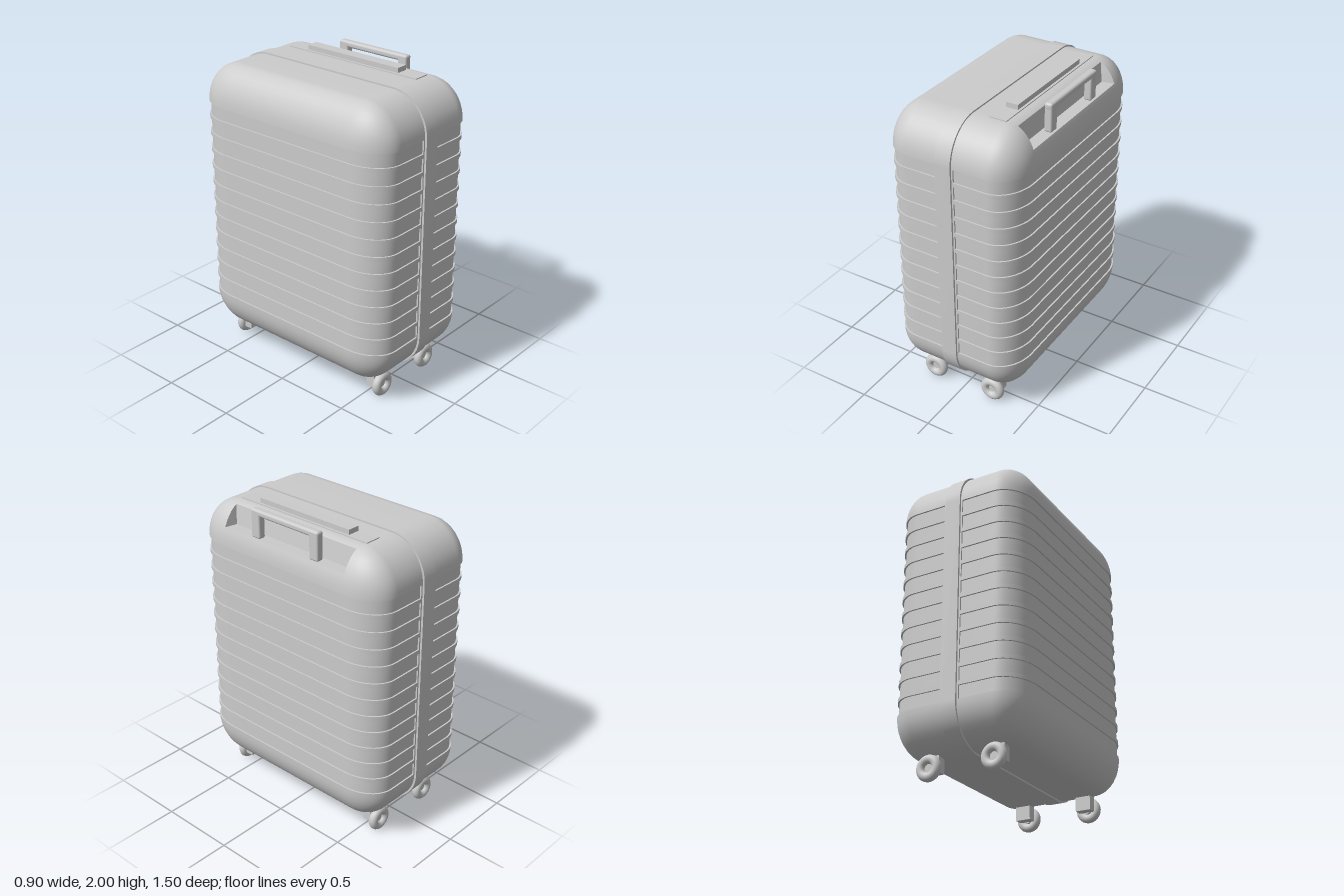
import * as THREE from 'three';
import { toCreasedNormals } from 'three/addons/utils/BufferGeometryUtils.js';
import { RoundedBoxGeometry } from 'three/addons/geometries/RoundedBoxGeometry.js';

const material = new THREE.MeshStandardMaterial({ color: 0xcccccc });
const thin = new THREE.MeshStandardMaterial({ color: 0xcccccc, side: THREE.DoubleSide });

// Shell half sizes, corner radii and vertical limits
const HX = 0.45, HZ = 0.735, RX = 0.18, RY = 0.25, RZ = 0.235;
const Y_LOW = 0.4, Y_HIGH = 1.705;
const PANEL = { count: 12, height: 0.085, depth: 0.01, startX: 0.062 };
const POCKET = { low: 27.4, high: 70.5, z: 0.48 };
const rad = THREE.MathUtils.degToRad;

function add(parent, name, geometry, x = 0, y = 0, z = 0, mat = material) {
  const mesh = new THREE.Mesh(geometry, mat);
  mesh.name = name;
  mesh.position.set(x, y, z);
  parent.add(mesh);
  return mesh;
}

// Surface through rows of [x, y, z] points; skip(r, i) leaves a quad open
function grid(rows, skip = () => false) {
  const n = rows[0].length, index = [];
  for (let r = 0; r < rows.length - 1; r++) {
    for (let i = 0; i < n - 1; i++) {
      if (skip(r, i)) continue;
      const a = r * n + i, b = a + 1, c = b + n, d = a + n;
      index.push(a, b, c, a, c, d);
    }
  }
  const geo = new THREE.BufferGeometry();
  geo.setAttribute('position', new THREE.Float32BufferAttribute(rows.flat(2), 3));
  geo.setIndex(index);
  return toCreasedNormals(geo, 0.5);
}

// U-shaped outline of one half shell; k shrinks the corner, inset sinks the panel
function ring(y, k, inset) {
  const cx = HX - RX, cz = HZ - RZ;
  const rx = RX * k - inset, rz = RZ * k - inset;
  const front = [[0, cz + RZ * k], [PANEL.startX, cz + RZ * k], [PANEL.startX, cz + rz]];
  for (let i = 0; i <= 12; i++) {
    const a = rad(i * 7.5);
    front.push([cx + rx * Math.sin(a), cz + rz * Math.cos(a)]);
  }
  front.push([cx + rx, POCKET.z]);
  const back = front.map(([x, z]) => [x, -z]).reverse();
  return [...front, ...back].map(([x, z]) => [x, y, z]);
}

function shellRows() {
  const angles = [0, 7.5, 15, 21, POCKET.low, 36, 45, 54, 62, POCKET.high, 77, 84, 90];
  const cap = (base, sign) => angles.map(a =>
    ring(base + sign * RY * Math.sin(rad(a)), Math.cos(rad(a)), 0));
  const flatten = row => row.map(([, y, z]) => [0, y, z]);
  const bottom = cap(Y_LOW, -1).reverse(), top = cap(Y_HIGH, 1);
  const rows = [flatten(bottom[0]), ...bottom];
  const pitch = (Y_HIGH - Y_LOW - PANEL.height) / (PANEL.count - 1);
  for (let p = 0; p < PANEL.count; p++) {
    const y0 = Y_LOW + p * pitch, y1 = y0 + PANEL.height;
    rows.push(ring(y0, 1, PANEL.depth), ring(y1, 1, PANEL.depth), ring(y1, 1, 0));
    if (p < PANEL.count - 1) rows.push(ring(y0 + pitch, 1, 0));
  }
  const topStart = rows.length;
  rows.push(...top, flatten(top[top.length - 1]));
  return {
    rows,
    pocketStart: topStart + angles.indexOf(POCKET.low),
    pocketEnd: topStart + angles.indexOf(POCKET.high),
  };
}

// Ribbed half shells, the left one open at the pull handle pocket
function addShells(group) {
  const { rows, pocketStart, pocketEnd } = shellRows();
  const middle = rows[0].length / 2 - 1;
  add(group, 'leftShell', grid(rows, (r, i) => i === middle && r >= pocketStart && r < pocketEnd));
  const mirrored = rows.map(row => row.map(([x, y, z]) => [-x, y, z]).reverse());
  add(group, 'rightShell', grid(mirrored));
}

// Rounded frame running around the middle of the case
function addFrame(group) {
  const z = 0.748, y0 = 0.14, y1 = 1.965, r = 0.255, half = 0.052;
  const s = new THREE.Shape();
  s.absarc(z - r, y1 - r, r, 0, Math.PI / 2);
  s.absarc(-z + r, y1 - r, r, Math.PI / 2, Math.PI);
  s.absarc(-z + r, y0 + r, r, Math.PI, Math.PI * 1.5);
  s.absarc(z - r, y0 + r, r, Math.PI * 1.5, Math.PI * 2);
  const geo = new THREE.ExtrudeGeometry(s, { depth: half * 2, bevelEnabled: false, curveSegments: 16 });
  geo.translate(0, 0, -half).rotateY(Math.PI / 2);
  add(group, 'middleFrame', toCreasedNormals(geo, 0.5));
}

// Pocket lining: back wall, floor and two end walls
function addPocket(group) {
  const pocket = new THREE.Group();
  pocket.name = 'handlePocket';
  group.add(pocket);
  const curve = a => [HX - RX + RX * Math.cos(rad(a)), Y_HIGH + RY * Math.sin(rad(a))];
  const outer = curve(POCKET.low), inner = curve(POCKET.high);
  const corner = [0.35, outer[1]], zIn = 0.465;
  const line = ([x, y], z) => [[x, y, z], [x, y, -z]];
  add(pocket, 'pocketWalls', grid([line(outer, POCKET.z), line(corner, zIn), line(inner, POCKET.z)]), 0, 0, 0, thin);
  for (const s of [1, -1]) {
    const rows = [POCKET.low, 36, 45, 54, 62, POCKET.high].map(a =>
      [[...curve(a), s * POCKET.z], [...corner, s * zIn]]);
    add(pocket, 'pocketEnd', grid(rows), 0, 0, 0, thin);
  }
}

// Telescopic handle rising from the pocket
function addPullHandle(group) {
  const handle = new THREE.Group();
  handle.name = 'pullHandle';
  group.add(handle);
  add(handle, 'grip', new RoundedBoxGeometry(0.05, 0.042, 0.535, 4, 0.016), 0.393, 1.979, 0);
  for (const s of [1, -1]) {
    add(handle, 'post', new RoundedBoxGeometry(0.05, 0.18, 0.068, 4, 0.012), 0.393, 1.908, s * 0.232);
  }
}

// Carry handle on its flat base plate
function addCarryHandle(group) {
  add(group, 'carryHandlePlate', new THREE.BoxGeometry(0.108, 0.03, 1.0), 0.213, 1.946, 0);
  add(group, 'carryHandle', new THREE.BoxGeometry(0.078, 0.032, 0.71), 0.213, 1.976, 0);
}

// Four wheels with mounting blocks on their inner sides
function addWheels(group) {
  for (const sx of [1, -1]) {
    for (const sz of [1, -1]) {
      const wheel = new THREE.Group();
      wheel.name = 'wheel';
      wheel.position.set(sx * 0.215, 0.081, sz * 0.592);
      group.add(wheel);
      add(wheel, 'tyre', new THREE.TorusGeometry(0.053, 0.028, 16, 32));
      const axle = new THREE.CylinderGeometry(0.028, 0.028, 0.03, 24).rotateX(Math.PI / 2);
      add(wheel, 'axle', axle, 0, 0, -sz * 0.012);
      add(wheel, 'mount', new THREE.BoxGeometry(0.1, 0.11, 0.06), 0, 0.035, -sz * 0.055);
    }
  }
}

export function createModel() {
  const group = new THREE.Group();
  group.name = 'suitcase';
  addShells(group);
  addFrame(group);
  addPocket(group);
  addPullHandle(group);
  addCarryHandle(group);
  addWheels(group);
  return group;
}
